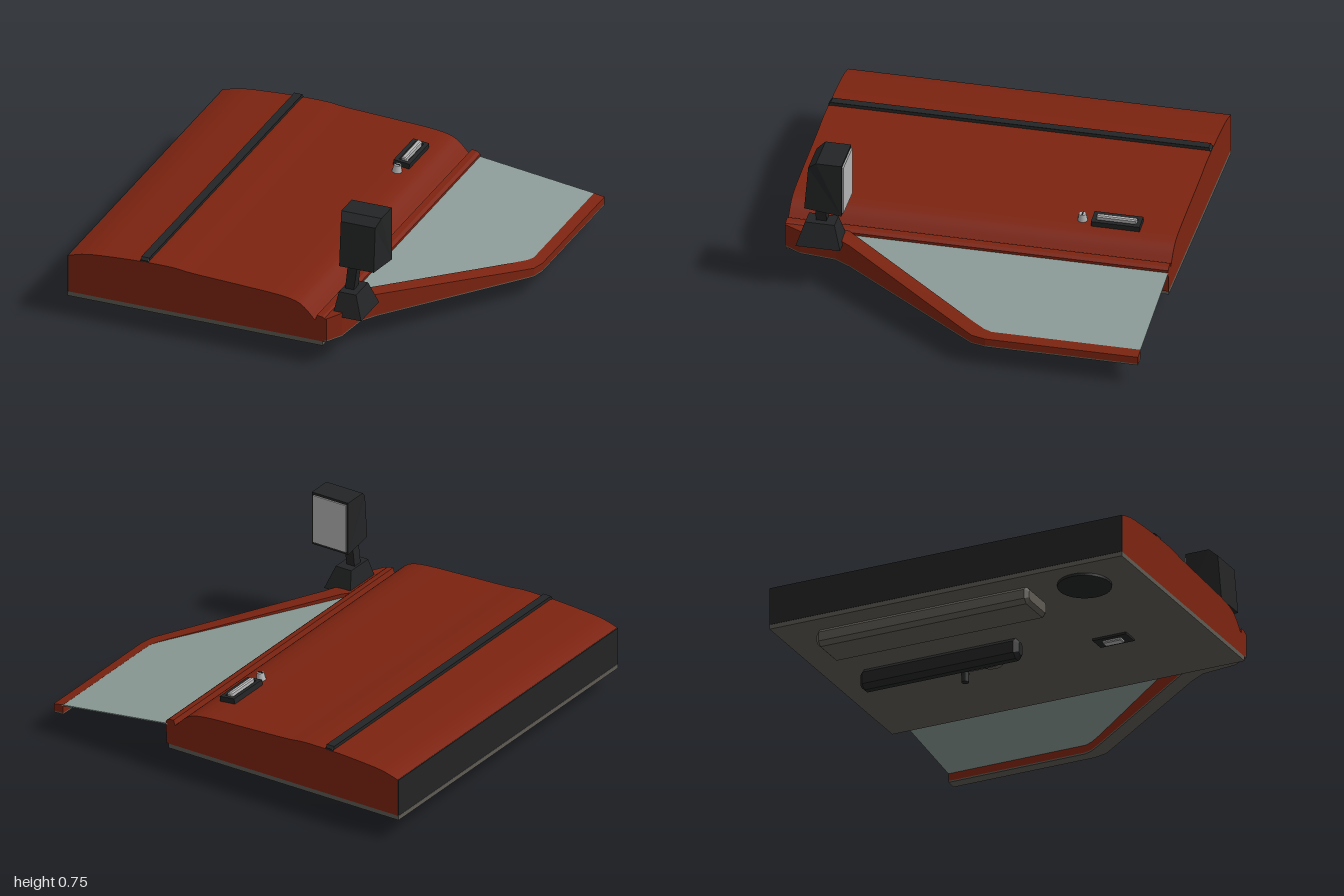
import * as THREE from 'three';
import { toCreasedNormals } from 'three/addons/utils/BufferGeometryUtils.js';

const mat = (name, color, side = THREE.FrontSide) => {
  const m = new THREE.MeshStandardMaterial({ color, side });
  m.name = name;
  return m;
};

export function createModel() {
  const red = mat('red paint', 0x7c2310);
  const black = mat('black trim', 0x232425);
  const lining = mat('grey lining', 0x5e5a53);
  const glass = mat('window glass', 0x8b9b96, THREE.DoubleSide);
  const chrome = mat('chrome', 0xb4b4b4);
  const door = new THREE.Group();
  door.name = 'vehicleDoor';

  const add = (name, geometry, material, x = 0, y = 0, z = 0, parent = door) => {
    const m = new THREE.Mesh(geometry, material);
    m.name = name;
    m.position.set(x, y, z);
    parent.add(m);
    return m;
  };
  const shapeOf = pts => new THREE.Shape(pts.map(p => new THREE.Vector2(p[0], p[1])));

  // Box with all edges chamfered by b
  const chamferBox = (w, h, d, b) => {
    const x = w / 2 - b, y = h / 2 - b, c = b * 0.6;
    const g = new THREE.ExtrudeGeometry(shapeOf([
      [-x + c, -y], [x - c, -y], [x, -y + c], [x, y - c],
      [x - c, y], [-x + c, y], [-x, y - c], [-x, -y + c]]),
    { depth: d - 2 * b, bevelEnabled: true, bevelSize: b, bevelThickness: b, bevelSegments: 1 });
    return g.translate(0, 0, b - d / 2);
  };

  // Flat outline in (x, z) whose lower and upper heights depend on x
  const slab = (pts, bottom, top) => {
    const g = new THREE.ExtrudeGeometry(shapeOf(pts.map(p => [p[0], -p[1]])), { depth: 1, bevelEnabled: false });
    g.rotateX(-Math.PI / 2);
    const p = g.attributes.position;
    for (let i = 0; i < p.count; i++) {
      const x = p.getX(i);
      p.setY(i, THREE.MathUtils.lerp(bottom(x), top(x), p.getY(i)));
    }
    g.computeVertexNormals();
    return g;
  };

  // Box whose top is scaled and shifted
  const taperBox = (w, h, d, sx, sz, dx = 0) => {
    const g = new THREE.BoxGeometry(w, h, d).toNonIndexed();
    const p = g.attributes.position;
    for (let i = 0; i < p.count; i++) {
      if (p.getY(i) > 0) {
        p.setX(i, p.getX(i) * sx + dx);
        p.setZ(i, p.getZ(i) * sz);
      }
    }
    g.computeVertexNormals();
    return g;
  };

  // Outer skin: curved section swept along z, with the window rail at its edge
  const skinCurve = new THREE.SplineCurve([
    [-0.995, 0.325], [-0.9, 0.35], [-0.75, 0.363], [-0.6, 0.37], [-0.45, 0.37], [-0.35, 0.36],
    [-0.1, 0.348], [0.1, 0.337], [0.19, 0.322], [0.24, 0.295], [0.29, 0.243]
  ].map(p => new THREE.Vector2(p[0], p[1])));
  const section = [[0.345, 0.13], [0.35, 0.25], [0.335, 0.262], [0.305, 0.266], [0.297, 0.24],
    ...skinCurve.getPoints(40).reverse().map(v => [v.x, v.y]), [-0.995, 0.13]];
  const skin = new THREE.ExtrudeGeometry(shapeOf(section), { depth: 1.89, bevelEnabled: false });
  add('outerSkin', toCreasedNormals(skin.translate(0, 0, -0.945), 0.5), red);
  add('hingeFace', new THREE.BoxGeometry(0.006, 0.193, 1.89), black, -0.997, 0.2275, 0);
  add('innerLining', new THREE.BoxGeometry(1.335, 0.023, 1.89), lining, -0.3325, 0.1185, 0);

  // Sloping window frame, its lining and the pane
  const frameOutline = [[0.33, 0.945], [0.355, 0.945], [0.4, 0.86], [0.42, 0.68], [0.465, 0.6],
    [0.95, -0.07], [0.985, -0.12], [1, -0.19], [1, -0.945], [0.945, -0.945], [0.945, -0.21],
    [0.93, -0.17], [0.89, -0.11], [0.37, 0.6], [0.335, 0.64]];
  const frameTop = x => Math.min(0.255, 0.24 - 0.18 * (x - 0.5));
  const frameBase = x => 0.14 - 0.04 * (x - 0.33);
  add('windowFrame', slab(frameOutline, frameBase, frameTop), red);
  add('windowFrameLining', slab(frameOutline, x => frameBase(x) - 0.008, frameBase), lining);
  const paneHeight = x => 0.238 - 0.13 * (x - 0.34);
  add('windowPane', slab([[0.34, 0.64], [0.37, 0.62], [0.9, -0.1], [0.955, -0.2], [0.955, -0.945], [0.34, -0.945]],
    x => paneHeight(x) - 0.006, paneHeight), glass);

  // Rubbing strip
  add('rubbingStrip', chamferBox(0.072, 0.036, 1.89, 0.012), black, -0.597, 0.372, 0);

  // Outside handle and lock, following the slope of the skin
  const handle = new THREE.Group();
  handle.name = 'outsideHandle';
  handle.position.set(0.118, 0.342, -0.64);
  handle.rotation.z = -0.12;
  door.add(handle);
  const hole = new THREE.Path([[-0.022, -0.1], [0.022, -0.1], [0.022, 0.1], [-0.022, 0.1]]
    .map(p => new THREE.Vector2(p[0], p[1])));
  const surround = shapeOf([[-0.042, -0.12], [0.042, -0.12], [0.042, 0.12], [-0.042, 0.12]]);
  surround.holes.push(hole);
  add('handleSurround', new THREE.ExtrudeGeometry(surround, { depth: 0.03, bevelEnabled: false })
    .rotateX(-Math.PI / 2), black, 0, -0.01, 0, handle);
  add('handleRecess', new THREE.BoxGeometry(0.05, 0.008, 0.21), black, 0, -0.002, 0, handle);
  add('handleGrip', chamferBox(0.026, 0.034, 0.2, 0.005), chrome, 0, 0.018, 0, handle);
  add('lockBarrel', new THREE.CylinderGeometry(0.018, 0.025, 0.04, 10), chrome, 0, 0.01, 0.17, handle);
  add('keySlot', new THREE.BoxGeometry(0.026, 0.004, 0.006), black, 0, 0.031, 0.17, handle);

  // Door mirror
  const mirror = new THREE.Group();
  mirror.name = 'doorMirror';
  door.add(mirror);
  add('mirrorFoot', taperBox(0.15, 0.115, 0.22, 0.6, 0.66, -0.012), black, 0.425, 0.29, 0.75, mirror);
  add('mirrorStem', taperBox(0.045, 0.16, 0.052, 1.1, 1, 0.02), black, 0.4, 0.4, 0.75, mirror);
  const head = new THREE.ExtrudeGeometry(shapeOf([[0.62, 0.465], [0.807, 0.478], [0.787, 0.71],
    [0.746, 0.746], [0.62, 0.746]]), { depth: 0.21, bevelEnabled: false });
  head.translate(0, 0, -0.105).rotateY(-Math.PI / 2);
  const hp = head.attributes.position;
  for (let i = 0; i < hp.count; i++) if (hp.getZ(i) > 0.76) hp.setX(i, hp.getX(i) * 0.86);
  head.computeVertexNormals();
  add('mirrorHead', head, black, 0.453, 0, 0, mirror);
  add('mirrorGlass', new THREE.BoxGeometry(0.19, 0.255, 0.008), chrome, 0.453, 0.606, 0.616, mirror);

  // Inside fittings, on the underside
  add('speaker', new THREE.CylinderGeometry(0.132, 0.132, 0.014, 28), black, -0.787, 0.101, 0.64);
  add('storagePocket', chamferBox(0.22, 0.09, 1.14, 0.018), lining, -0.79, 0.066, -0.18);
  add('armrest', chamferBox(0.08, 0.108, 0.85, 0.02), black, -0.368, 0.054, -0.335);

  add('latchSurround', new THREE.BoxGeometry(0.09, 0.012, 0.18), black, -0.17, 0.102, 0.49);
  add('latchLever', chamferBox(0.045, 0.018, 0.1, 0.004), chrome, -0.17, 0.093, 0.49);

  // Window winder: hub, arm and knob
  add('winderHub', new THREE.CylinderGeometry(0.075, 0.06, 0.02, 18), lining, -0.21, 0.098, -0.15);
  add('winderArm', chamferBox(0.035, 0.014, 0.19, 0.004), lining, -0.215, 0.08, -0.215);
  add('winderKnobStem', new THREE.CylinderGeometry(0.01, 0.01, 0.03, 8), black, -0.22, 0.068, -0.28);
  add('winderKnob', new THREE.CylinderGeometry(0.02, 0.018, 0.05, 10), black, -0.22, 0.038, -0.28);

  return door;
}
